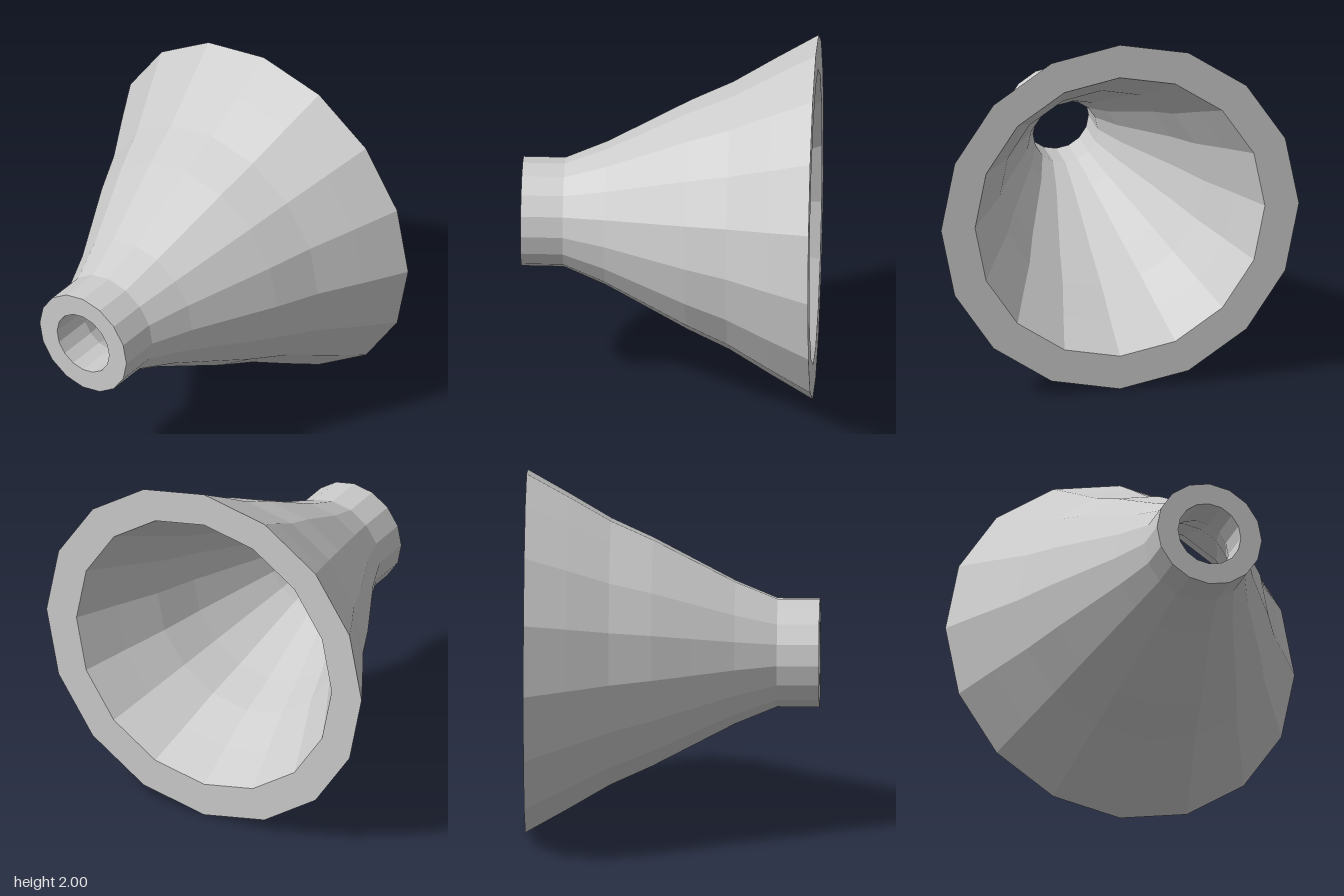
import * as THREE from 'three';

export function createModel() {
  const group = new THREE.Group();
  group.name = 'flaredNozzle';

  // Outer wall from the wide rear rim to the narrow front collar: [radius, z]
  const outer = [
    [1, -0.8], [0.87, -0.57], [0.735, -0.34], [0.63, -0.11],
    [0.515, 0.11], [0.395, 0.34], [0.3, 0.57], [0.3, 0.8],
  ];

  // Inner wall runs back again; the wall thickens towards the rim
  const inner = outer.map(([r, z]) => {
    const t = Math.max(0, (0.57 - z) / 1.37);
    return [r - 0.12 - 0.07 * t, z];
  }).reverse();

  // Closed profile makes both walls and both flat end rings
  const profile = [...outer, ...inner, outer[0]].map(([r, z]) => new THREE.Vector2(r, z));
  const geometry = new THREE.LatheGeometry(profile, 16);
  geometry.rotateX(Math.PI / 2);

  const bell = new THREE.Mesh(
    geometry,
    new THREE.MeshStandardMaterial({ color: 0xcccccc, flatShading: true })
  );
  bell.name = 'bellShell';
  bell.position.y = 1;
  group.add(bell);
  return group;
}
